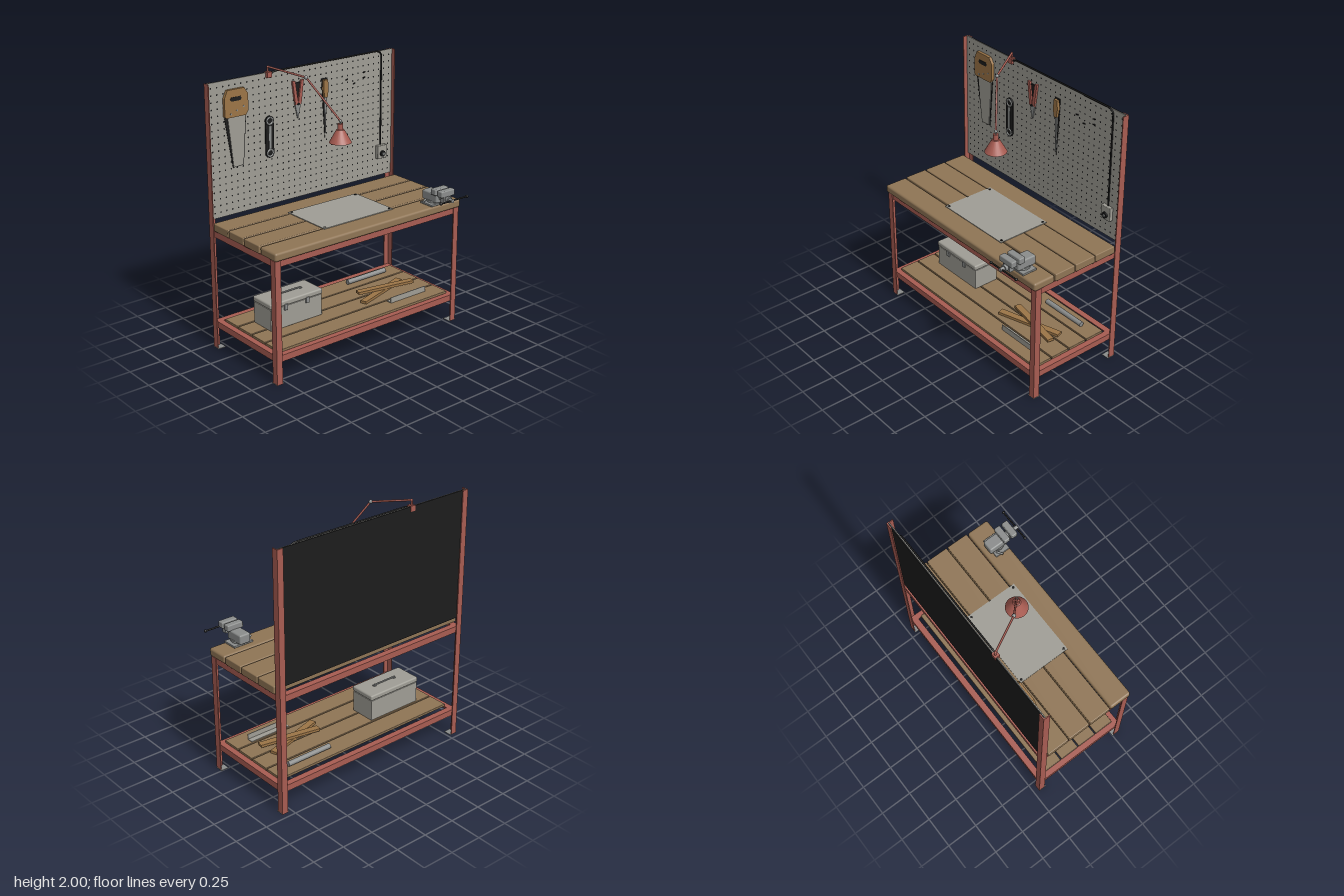
import * as THREE from 'three';
import { RoundedBoxGeometry } from 'three/addons/geometries/RoundedBoxGeometry.js';
import { mergeGeometries } from 'three/addons/utils/BufferGeometryUtils.js';

const material = (name, color, side = THREE.FrontSide) => {
  const m = new THREE.MeshStandardMaterial({ color, side });
  m.name = name;
  return m;
};
const red = material('red paint', 0xa85c52, THREE.DoubleSide);
const wood = material('bench wood', 0x8f7555);
const handleWood = material('handle wood', 0x9c7547);
const grey = material('grey sheet', 0x9f9d95);
const steel = material('steel', 0x8b8d8c);
const dark = material('black', 0x1c1c1c);

export function createModel() {
  const root = new THREE.Group();
  root.name = 'workbench';

  const add = (name, geo, mat, parent = root) => {
    const m = new THREE.Mesh(geo, mat);
    m.name = name;
    parent.add(m);
    return m;
  };
  const group = (name) => {
    const g = new THREE.Group();
    g.name = name;
    root.add(g);
    return g;
  };
  // Box from its limits, optionally with rounded edges
  const box = (name, mat, x0, x1, y0, y1, z0, z1, parent, r = 0) => {
    const s = [x1 - x0, y1 - y0, z1 - z0];
    const geo = r ? new RoundedBoxGeometry(...s, 2, r) : new THREE.BoxGeometry(...s);
    const m = add(name, geo, mat, parent);
    m.position.set((x0 + x1) / 2, (y0 + y1) / 2, (z0 + z1) / 2);
    return m;
  };
  const V = (x, y, z) => new THREE.Vector3(x, y, z);
  // Round bar between two points
  const rod = (name, mat, a, b, r, parent, r2 = r) => {
    const m = add(name, new THREE.CylinderGeometry(r2, r, a.distanceTo(b), 14), mat, parent);
    m.position.copy(a).add(b).multiplyScalar(0.5);
    m.quaternion.setFromUnitVectors(V(0, 1, 0), b.clone().sub(a).normalize());
    return m;
  };
  const ball = (name, mat, p, r, parent) =>
    add(name, new THREE.SphereGeometry(r, 14, 10), mat, parent).position.copy(p);
  // Flat wall piece from [z, y] points, facing +x
  const plate = (name, mat, pts, x, t, parent, hole) => {
    const v = (l) => l.map(([z, y]) => new THREE.Vector2(-z, y));
    const s = new THREE.Shape(v(pts));
    if (hole) s.holes.push(new THREE.Path(v(hole)));
    const geo = new THREE.ExtrudeGeometry(s, { depth: t, bevelEnabled: false });
    geo.rotateY(Math.PI / 2);
    const m = add(name, geo, mat, parent);
    m.position.x = x;
    return m;
  };
  // Disc facing +x
  const disc = (name, mat, x, y, z, r, t, parent, n = 16) =>
    rod(name, mat, V(x, y, z), V(x + t, y, z), r, parent);

  // Angle-iron posts and their feet
  const frame = group('frame');
  const T = 0.007;
  for (const s of [-1, 1]) {
    const zr = (a, b) => (s > 0 ? [a, b] : [-b, -a]);
    for (const [xo, dir, h] of [[-0.46, 1, 1.95], [0.31, -1, 0.91]]) {
      const xr = (a, b) => (dir > 0 ? [xo + a, xo + b] : [xo - b, xo - a]);
      box('postFlange', red, ...xr(0, T), 0, h, ...zr(0.783, 0.83), frame);
      box('postWeb', red, ...xr(T, 0.05), 0, h, ...zr(0.83 - T, 0.83), frame);
      box('foot', steel, ...xr(0, 0.062), 0, 0.005, ...zr(0.77, 0.832), frame);
    }
    // End rails
    for (const y of [0.86, 0.165]) {
      box('endRail', red, -0.452, 0.302, y, y + 0.048, ...zr(0.815, 0.822), frame);
      box('endRailLedge', red, -0.452, 0.302, y + 0.041, y + 0.048, ...zr(0.775, 0.815), frame);
    }
  }
  // Long rails
  for (const y of [0.86, 0.165]) {
    for (const [x, lx] of [[-0.452, -0.445], [0.296, 0.256]]) {
      box('longRail', red, x, x + T, y, y + 0.048, -0.82, 0.82, frame);
      box('longRailLedge', red, lx, lx + 0.04, y + 0.041, y + 0.048, -0.815, 0.815, frame);
    }
  }

  // Worktop and shelf planks
  const planks = group('planks');
  [[-0.4, -0.224], [-0.217, -0.043], [-0.034, 0.139], [0.149, 0.325]].forEach(([a, b], i) => {
    const edge = i === 3;
    box('topPlank', wood, a, b, edge ? 0.909 : 0.912, 0.97, -0.835, 0.835, planks, edge ? 0.016 : 0.007);
  });
  [[-0.38, -0.225], [-0.215, -0.062], [-0.052, 0.1], [0.11, 0.262]].forEach(([a, b]) =>
    box('shelfPlank', wood, a, b, 0.213, 0.232, -0.78, 0.78, planks, 0.003));

  // Metal work mat with corner screws
  box('workMat', grey, -0.24, 0.175, 0.97, 0.975, -0.312, 0.312);
  for (const x of [-0.22, 0.155]) for (const z of [-0.292, 0.292])
    rod('matScrew', dark, V(x, 0.974, z), V(x, 0.978, z), 0.009);

  // Perforated wall panel
  const panel = group('wallPanel');
  box('panelFace', grey, -0.445, -0.44, 0.98, 1.95, -0.823, 0.823, panel);
  box('panelBack', dark, -0.453, -0.445, 0.98, 1.95, -0.823, 0.823, panel);
  const dots = [];
  for (let i = -16; i <= 16; i++) for (let j = 0; j < 19; j++)
    dots.push(new THREE.CircleGeometry(0.0065, 8).rotateY(Math.PI / 2).translate(-0.4393, 1.02 + j * 0.0495, i * 0.0495));
  add('panelHoles', mergeGeometries(dots), dark, panel);

  // Hand saw
  const saw = group('handSaw');
  plate('sawTeeth', dark, [[0.695, 1.69], [0.515, 1.69], [0.545, 1.33], [0.635, 1.325]], -0.433, 0.004, saw);
  plate('sawBlade', grey, [[0.672, 1.71], [0.522, 1.71], [0.552, 1.335], [0.632, 1.33]], -0.43, 0.006, saw);
  plate('sawHandle', handleWood,
    [[0.7, 1.70], [0.7, 1.83], [0.675, 1.885], [0.535, 1.885], [0.505, 1.84], [0.505, 1.72], [0.525, 1.69], [0.685, 1.69]],
    -0.435, 0.022, saw);
  plate('sawGrip', dark, [[0.645, 1.803], [0.655, 1.815], [0.645, 1.832], [0.57, 1.832], [0.56, 1.815], [0.57, 1.803]], -0.414, 0.003, saw);
  for (const [z, y] of [[0.65, 1.715], [0.6, 1.735], [0.545, 1.755]]) disc('sawRivet', steel, -0.414, y, z, 0.007, 0.004, saw);

  // Ring spanner
  const spanner = group('spanner');
  box('spannerBar', dark, -0.435, -0.425, 1.37, 1.605, 0.285, 0.355, spanner);
  box('spannerShank', steel, -0.426, -0.421, 1.40, 1.57, 0.31, 0.33, spanner);
  for (const y of [1.37, 1.605]) {
    disc('spannerEnd', dark, -0.435, y, 0.32, 0.036, 0.011, spanner);
    const ring = add('spannerRing', new THREE.TorusGeometry(0.024, 0.007, 8, 20).rotateY(Math.PI / 2), steel, spanner);
    ring.position.set(-0.424, y, 0.32);
  }

  // Snips with red handles
  const snips = group('snips');
  plate('snipsGap', dark, [[0.1, 1.84], [0.04, 1.84], [0.07, 1.66]], -0.436, 0.006, snips);
  for (const s of [-1, 1])
    plate('snipsHandle', red, [[0.07 + s * 0.05, 1.855], [0.07 + s * 0.026, 1.855], [0.07, 1.69], [0.07 + s * 0.026, 1.68]], -0.434, 0.016, snips);
  plate('snipsJaw', steel, [[0.1, 1.7], [0.04, 1.7], [0.069, 1.58], [0.072, 1.58]], -0.434, 0.01, snips);
  disc('snipsPivot', dark, -0.424, 1.685, 0.07, 0.009, 0.01, snips);

  // Tapered file
  const file = group('file');
  plate('fileBack', dark, [[-0.15, 1.83], [-0.205, 1.83], [-0.197, 1.66], [-0.178, 1.385], [-0.159, 1.66]], -0.437, 0.004, file);
  plate('fileHandle', handleWood, [[-0.16, 1.82], [-0.195, 1.82], [-0.2, 1.75], [-0.19, 1.69], [-0.165, 1.69], [-0.155, 1.75]], -0.434, 0.02, file);
  plate('fileBlade', steel, [[-0.168, 1.69], [-0.19, 1.69], [-0.179, 1.42]], -0.433, 0.008, file);

  // Empty hooks
  for (const [z, y] of [[-0.38, 1.78], [-0.45, 1.74], [-0.545, 1.81], [-0.545, 1.77]])
    rod('hook', dark, V(-0.44, y, z), V(-0.418, y + 0.012, z), 0.004);

  // Lamp
  const lamp = group('lamp');
  const elbow = V(-0.19, 1.94, 0.175), tip = V(-0.035, 1.635, 0);
  box('lampClamp', red, -0.458, -0.42, 1.915, 1.955, 0.295, 0.335, lamp);
  rod('lampStem', red, V(-0.442, 1.95, 0.315), V(-0.442, 1.99, 0.315), 0.007, lamp);
  ball('lampBend', red, V(-0.44, 1.99, 0.315), 0.009, lamp);
  rod('lampUpperArm', red, V(-0.44, 1.99, 0.315), elbow, 0.007, lamp);
  rod('lampLowerArm', red, elbow, tip, 0.007, lamp);
  ball('lampElbow', steel, elbow, 0.014, lamp);
  ball('lampSwivel', steel, tip, 0.011, lamp);
  const shade = [[0.001, 1.615], [0.019, 1.615], [0.02, 1.575], [0.028, 1.572], [0.08, 1.48]].map(([r, y]) => new THREE.Vector2(r, y));
  for (let i = 0; i < shade.length - 1; i++)
    add('lampShade', new THREE.LatheGeometry([shade[i], shade[i + 1]], 24), red, lamp).position.set(-0.035, 0, 0);
  rod('lampNeck', steel, V(-0.035, 1.61, 0), tip, 0.006, lamp);
  ball('lampBulb', grey, V(-0.035, 1.53, 0), 0.025, lamp);

  // Cable and outlet
  const path = new THREE.CurvePath();
  const c = [V(-0.434, 1.94, 0.3), V(-0.434, 1.953, 0.26), V(-0.434, 1.953, -0.65), V(-0.434, 1.91, -0.714), V(-0.434, 1.22, -0.714)];
  path.add(new THREE.LineCurve3(c[0], c[1]));
  path.add(new THREE.LineCurve3(c[1], c[2]));
  path.add(new THREE.QuadraticBezierCurve3(c[2], V(-0.434, 1.953, -0.714), c[3]));
  path.add(new THREE.LineCurve3(c[3], c[4]));
  add('cable', new THREE.TubeGeometry(path, 120, 0.006, 8), dark);
  box('outletBox', grey, -0.44, -0.41, 1.12, 1.225, -0.758, -0.67, undefined, 0.005);
  disc('outletPlug', dark, -0.411, 1.16, -0.714, 0.023, 0.012);
  disc('outletPin', steel, -0.4, 1.16, -0.714, 0.01, 0.008);

  // Bench vise
  const vise = group('vise');
  const vz = -0.632;
  box('viseBase', steel, 0.2, 0.32, 0.97, 0.985, vz - 0.08, vz + 0.08, vise, 0.004);
  rod('viseSwivel', steel, V(0.26, 0.98, vz), V(0.26, 1.0, vz), 0.055, vise);
  box('viseBody', steel, 0.177, 0.33, 0.99, 1.062, vz - 0.045, vz + 0.045, vise, 0.012);
  for (const x of [0.288, 0.355]) {
    box('viseJaw', steel, x, x + 0.05, 1.055, 1.102, vz - 0.065, vz + 0.065, vise, 0.008);
    box('viseJawNeck', steel, x + 0.005, x + 0.043, 1.01, 1.06, vz - 0.035, vz + 0.035, vise);
  }
  rod('viseSlide', steel, V(0.3, 1.035, vz), V(0.42, 1.035, vz), 0.024, vise);
  rod('viseScrew', steel, V(0.42, 1.035, vz), V(0.452, 1.035, vz), 0.014, vise);
  rod('viseHandle', dark, V(0.44, 1.035, vz - 0.15), V(0.44, 1.035, vz + 0.105), 0.006, vise);
  for (const z of [vz - 0.15, vz + 0.105]) ball('viseHandleEnd', dark, V(0.44, 1.035, z), 0.011, vise);
  rod('viseLock', steel, V(0.22, 0.995, vz + 0.05), V(0.25, 0.995, vz + 0.095), 0.008, vise);

  // Toolbox on the shelf
  const tb = group('toolbox');
  box('toolboxBody', grey, -0.207, -0.003, 0.232, 0.395, 0.197, 0.648, tb, 0.004);
  box('toolboxLid', grey, -0.212, 0.002, 0.397, 0.438, 0.192, 0.653, tb, 0.012);
  for (const z of [0.33, 0.52]) {
    box('toolboxLatch', steel, -0.005, 0.008, 0.365, 0.41, z - 0.015, z + 0.015, tb, 0.003);
    box('handleMount', steel, -0.115, -0.095, 0.436, 0.446, z - 0.025, z - 0.005, tb);
  }
  rod('toolboxHandle', steel, V(-0.105, 0.447, 0.315), V(-0.105, 0.447, 0.515), 0.006, tb);

  // Offcuts on the shelf
  const pieces = group('offcuts');
  rod('pipe', steel, V(-0.297, 0.252, -0.28), V(-0.297, 0.252, -0.65), 0.019, pieces);
  box('angleBase', grey, 0.118, 0.166, 0.232, 0.237, -0.65, -0.315, pieces);
  box('angleWall', grey, 0.161, 0.166, 0.232, 0.276, -0.65, -0.315, pieces);
  for (const [x, y, z, turn, len] of [[-0.03, 0.243, -0.39, 0.3, 0.5], [-0.035, 0.264, -0.43, -0.19, 0.47]]) {
    const b = add('woodOffcut', new THREE.BoxGeometry(0.05, 0.02, len), handleWood, pieces);
    b.position.set(x, y, z);
    b.rotation.y = turn;
  }
  return root;
}
